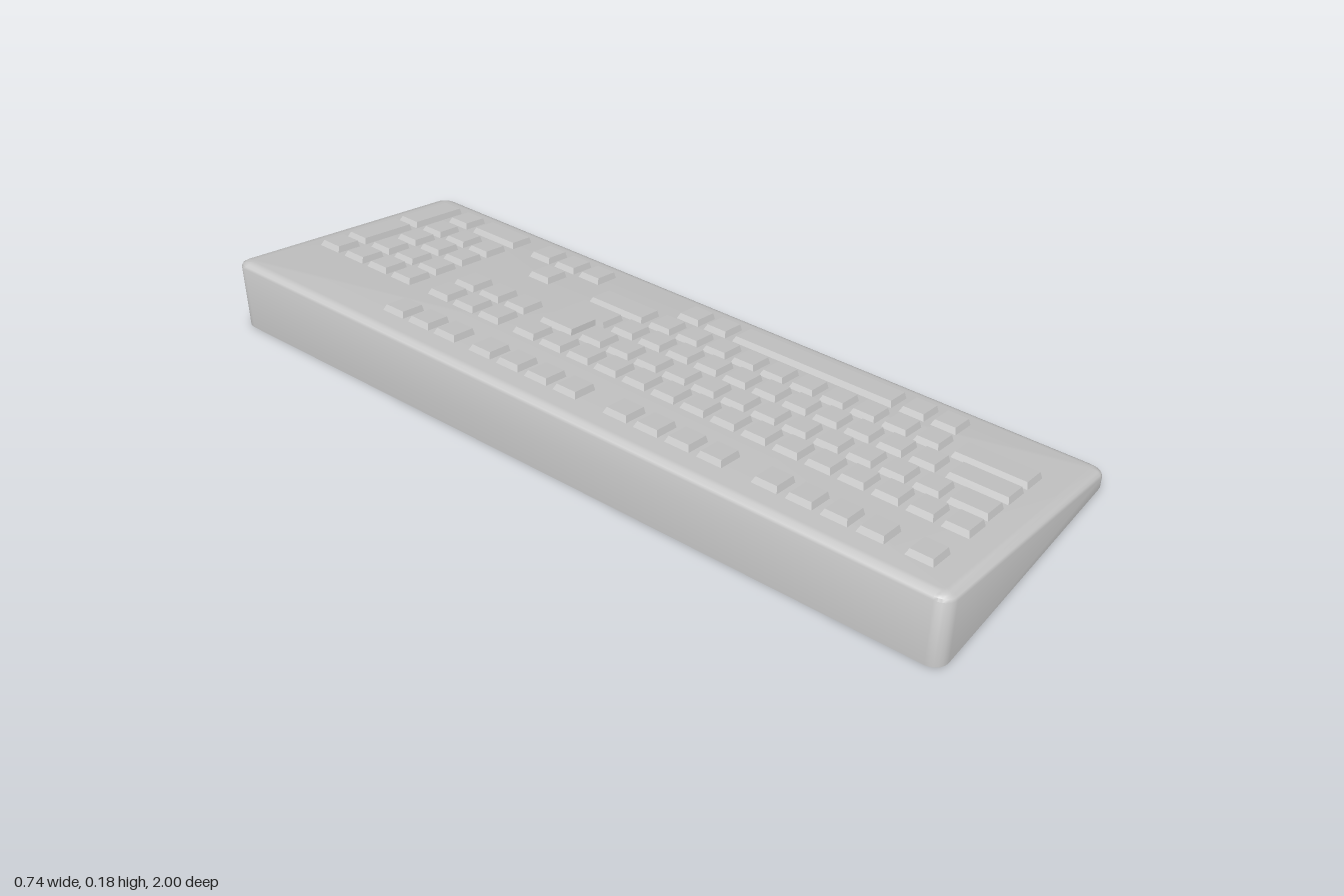
import * as THREE from 'three';
import { toCreasedNormals } from 'three/addons/utils/BufferGeometryUtils.js';

const HALF_X = 0.37, HALF_Z = 1, CORNER = 0.035;
// Height of the sloping deck
const deck = (x) => 0.113 - 0.2 * x;

// Rounded rectangle, counterclockwise from above, pulled in by `inset`
function outline(inset) {
  const pts = [], steps = 6, r = CORNER - inset * 0.8;
  [[1, -1], [-1, -1], [-1, 1], [1, 1]].forEach(([sx, sz], q) => {
    for (let i = 0; i <= steps; i++) {
      const a = (q + i / steps) * Math.PI / 2;
      pts.push([sx * (HALF_X - inset - r) + r * Math.cos(a), sz * (HALF_Z - inset - r) - r * Math.sin(a)]);
    }
  });
  return pts;
}

// Wedge-shaped case: vertical walls, rounded top rim, flat deck and base
function caseGeometry() {
  const rim = [[0, -0.016], [0.003, -0.009], [0.01, -0.004], [0.018, -0.001], [0.028, 0]];
  const rings = [outline(0).map(([x, z]) => [x, 0, z])];
  for (const [inset, h] of rim) rings.push(outline(inset).map(([x, z]) => [x, deck(x) + h, z]));
  const n = rings[0].length, pos = rings.flat(2), index = [];
  for (let k = 0; k < rings.length - 1; k++) {
    for (let i = 0; i < n; i++) {
      const a = k * n + i, b = k * n + (i + 1) % n;
      index.push(a, b, b + n, a, b + n, a + n);
    }
  }
  const base = pos.length / 3, top = base + 1, last = (rings.length - 1) * n;
  pos.push(0, 0, 0, 0, deck(0), 0);
  for (let i = 0; i < n; i++) {
    const j = (i + 1) % n;
    index.push(base, j, i, top, last + i, last + j);
  }
  const g = new THREE.BufferGeometry();
  g.setAttribute('position', new THREE.Float32BufferAttribute(pos, 3));
  g.setIndex(index);
  return toCreasedNormals(g, 0.7);
}

// Key from a footprint of [x, z] points: tapered to the top, laid on the deck
function keyGeometry(points) {
  const shape = new THREE.Shape(points.map(([x, z]) => new THREE.Vector2(x, -z)));
  const g = new THREE.ExtrudeGeometry(shape, { depth: 1, bevelEnabled: false });
  g.rotateX(-Math.PI / 2);
  g.computeBoundingBox();
  const { min, max } = g.boundingBox, p = g.attributes.position;
  const cz = (min.z + max.z) / 2, sz = 1 - 0.014 / (max.z - min.z), sx = 1 - 0.01 / (max.x - min.x);
  for (let i = 0; i < p.count; i++) {
    const isTop = p.getY(i) > 0.5;
    const x = isTop ? max.x - (max.x - p.getX(i)) * sx : p.getX(i);
    const z = isTop ? cz + (p.getZ(i) - cz) * sz : p.getZ(i);
    p.setXYZ(i, x, deck(x) + (isTop ? 0.015 : -0.003), z);
  }
  g.computeVertexNormals();
  return g;
}

export function createModel() {
  const model = new THREE.Group();
  const material = new THREE.MeshStandardMaterial({ color: 0xcccccc });
  const add = (parent, geometry, name) => {
    const mesh = new THREE.Mesh(geometry, material);
    mesh.name = name;
    parent.add(mesh);
  };
  const block = (name) => {
    const g = new THREE.Group();
    g.name = name;
    model.add(g);
    return g;
  };
  add(model, caseGeometry(), 'case');

  // Extent in x of each row, from the rearmost row to the space bar row
  const rows = [[-0.293, -0.221], [-0.144, -0.07], [-0.053, 0.021], [0.041, 0.115], [0.132, 0.206], [0.232, 0.306]];
  const STEP = 0.082, SIZE = 0.067;
  const key = (parent, row, z, length = SIZE, name = 'key', lastRow = row) => {
    const x0 = rows[row][0], x1 = rows[lastRow][1], a = z - length / 2, b = z + length / 2;
    add(parent, keyGeometry([[x0, a], [x0, b], [x1, b], [x1, a]]), name);
  };
  const run = (parent, row, z, count, step = STEP) => {
    for (let i = 0; i < count; i++) key(parent, row, z + i * step);
  };

  // Rear row in groups, with the escape key at the far end
  const rearKeys = block('rearKeys');
  run(rearKeys, 0, -0.534, 3);
  [-0.259, 0.135, 0.526].forEach((z) => run(rearKeys, 0, z, 4, 0.084));
  key(rearKeys, 0, 0.889, SIZE, 'escapeKey');

  // Main typing block
  const mainKeys = block('mainKeys');
  run(mainKeys, 1, -0.259, 15);
  run(mainKeys, 2, -0.132, 12);
  key(mainKeys, 2, 0.868, 0.1, 'tabKey');
  run(mainKeys, 3, -0.111, 11);
  key(mainKeys, 3, 0.842, 0.153, 'capsLockKey');
  key(mainKeys, 4, -0.203, 0.166, 'rightShiftKey');
  run(mainKeys, 4, -0.069, 10);
  key(mainKeys, 4, 0.824, 0.188, 'leftShiftKey');
  run(mainKeys, 5, -0.055, 2);
  key(mainKeys, 5, 0.302, 0.447, 'spaceBar');
  run(mainKeys, 5, 0.577, 2);
  // L-shaped enter key
  const [x0, x1, x2] = [rows[2][0], rows[3][0], rows[3][1]];
  add(mainKeys, keyGeometry([[x0, -0.288], [x0, -0.188], [x1, -0.188], [x1, -0.162], [x2, -0.162], [x2, -0.288]]), 'enterKey');

  // Navigation and arrow keys
  const navigationKeys = block('navigationKeys');
  [1, 2, 5].forEach((row) => run(navigationKeys, row, -0.534, 3));
  key(navigationKeys, 4, -0.452, SIZE, 'upArrowKey');

  // Number pad
  const numberPad = block('numberPad');
  key(numberPad, 1, -0.911);
  [1, 2, 3, 4].forEach((row) => run(numberPad, row, -0.825, 3));
  key(numberPad, 5, -0.825);
  key(numberPad, 5, -0.698, 0.145, 'zeroKey');
  key(numberPad, 2, -0.911, SIZE, 'plusKey', 3);
  key(numberPad, 4, -0.911, SIZE, 'padEnterKey', 5);
  return model;
}
